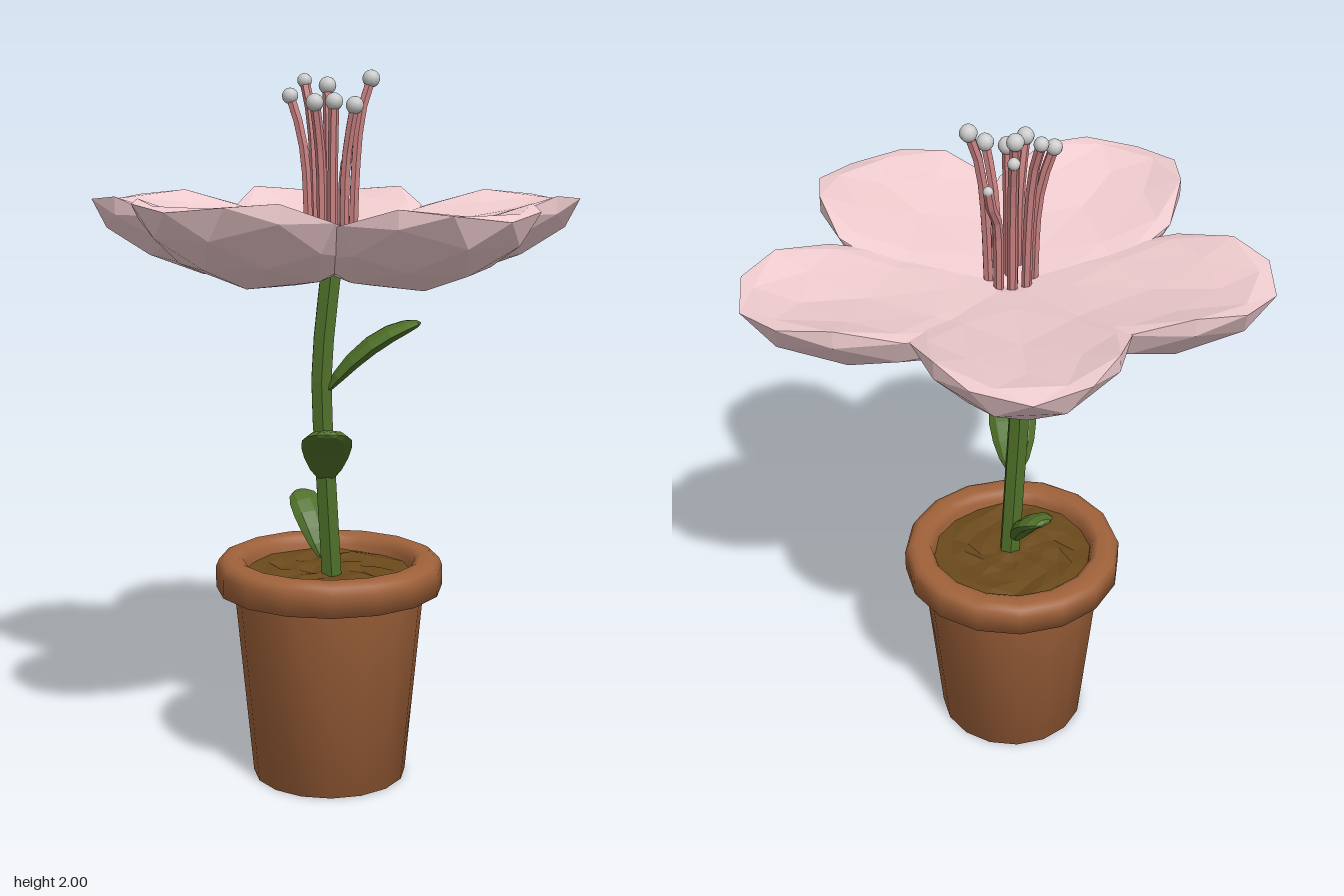
import * as THREE from 'three';

const mat = (color, flatShading = true) => new THREE.MeshStandardMaterial({ color, flatShading });
const terracotta = mat(0xa0623a, false);
const earth = mat(0x6b4a1c);
const green = mat(0x4f7029);
const pink = mat(0xf0cccf);
const rose = mat(0xc98080);
const pale = mat(0xcccccc, false);

const V = (x, y, z) => new THREE.Vector3(x, y, z);

function add(parent, name, geometry, material) {
  const mesh = new THREE.Mesh(geometry, material);
  mesh.name = name;
  parent.add(mesh);
  return mesh;
}

// Moves every vertex by a rule, then refreshes the normals
function reshape(geometry, rule) {
  const pos = geometry.attributes.position;
  const v = new THREE.Vector3();
  for (let i = 0; i < pos.count; i++) {
    v.fromBufferAttribute(pos, i);
    rule(v);
    pos.setXYZ(i, v.x, v.y, v.z);
  }
  geometry.computeVertexNormals();
  return geometry;
}

// Flattened, shallow cupped petal reaching outward along +x, its root crossing the centre
function petalGeometry(length, lift) {
  return reshape(new THREE.IcosahedronGeometry(1, 1), (p) => {
    const { x: u, y: n, z: v } = p;
    const reach = u < 0 ? 0.43 : 0.33;
    const thickness = n < 0 ? 0.115 : 0.045;
    const out = (u + 1) / 2;
    const y = 1.52 + lift * out * out + 0.13 * out * v * v + thickness * n;
    p.set((0.4 + reach * u) * length, y, 0.277 * v);
  });
}

// Leaf bent along a curve in its own x-y plane, slightly broader toward the tip
function leafGeometry(length, rise, width) {
  const curve = new THREE.QuadraticBezierCurve3(
    V(0, 0, 0), V(length * 0.45, rise * 0.85, 0), V(length, rise, 0));
  return reshape(new THREE.SphereGeometry(1, 8, 8), (p) => {
    const t = THREE.MathUtils.clamp((p.y + 1) / 2, 0, 1);
    const c = curve.getPoint(t);
    const d = curve.getTangent(t);
    const taper = 0.88 + 0.3 * t;
    const h = p.z * 0.025;
    p.set(c.x - d.y * h, c.y + d.x * h, p.x * taper * width / 2);
  });
}

export function createModel() {
  const model = new THREE.Group();
  model.name = 'pottedFlower';

  // Smooth pot with a thick rolled rim and a hollow top
  const profile = [
    [0, 0], [0.22, 0], [0.272, 0.555], [0.323, 0.555], [0.323, 0.615], [0.314, 0.636],
    [0.295, 0.645], [0.262, 0.645], [0.246, 0.636], [0.238, 0.615], [0.23, 0.57],
  ].map(([x, y]) => new THREE.Vector2(x, y));
  const pot = add(model, 'pot', new THREE.LatheGeometry(profile, 16), terracotta);
  pot.position.set(-0.025, 0, 0.061);

  // Lumpy soil
  const soil = add(model, 'soil', reshape(new THREE.RingGeometry(0.001, 0.236, 16, 5), (p) => {
    const bump = 0.008 * Math.sin(p.x * 47 + 1) * Math.cos(p.y * 53);
    p.set(p.x, 0.6 + bump, -p.y);
  }), earth);
  soil.position.copy(pot.position);

  // Slightly bowed stem
  const stemPath = new THREE.CatmullRomCurve3([
    V(-0.018, 0.58, 0.08), V(-0.033, 0.85, 0.087), V(-0.047, 1.17, 0.093),
    V(-0.033, 1.34, 0.088), V(-0.015, 1.5, 0.08),
  ]);
  add(model, 'stem', new THREE.TubeGeometry(stemPath, 8, 0.032, 6), green);

  // Leaves: base, heading (from +x toward +z), length, rise, width
  const leaves = [
    [V(-0.035, 1.12, 0.09), 0, 0.265, 0.195, 0.16],
    [V(-0.035, 0.865, 0.09), Math.PI / 2, 0.21, 0.175, 0.135],
    [V(-0.04, 0.635, 0.075), -Math.PI * 0.64, 0.16, 0.17, 0.11],
  ];
  for (const [base, heading, length, rise, width] of leaves) {
    const leaf = add(model, 'leaf', leafGeometry(length, rise, width), green);
    leaf.position.copy(base);
    leaf.rotation.y = -heading;
  }

  // Five slightly uneven petals: angle in degrees, length factor, tip lift
  const petalSet = [
    [90, 1, 0.115], [20, 1.02, 0.11], [-54, 0.98, 0.105], [-126, 0.98, 0.13], [158, 0.98, 0.11],
  ];
  const petals = new THREE.Group();
  petals.name = 'petals';
  petals.position.set(-0.015, 0, 0.05);
  model.add(petals);
  for (const [angle, length, lift] of petalSet) {
    const petal = add(petals, 'petal', petalGeometry(length, lift), pink);
    petal.rotation.y = THREE.MathUtils.degToRad(angle);
  }

  // Stamens: tip x, y, z and tip radius
  const tips = [
    [-0.09, 1.972, -0.01, 0.02], [-0.02, 1.925, -0.02, 0.017], [0.045, 1.845, -0.01, 0.014],
    [-0.13, 1.93, 0.06, 0.022], [-0.028, 1.958, 0.035, 0.024], [0.09, 1.976, 0.06, 0.024],
    [-0.012, 1.915, 0.11, 0.024], [0.042, 1.905, 0.155, 0.024], [-0.065, 1.912, 0.17, 0.024],
  ];
  const stamens = new THREE.Group();
  stamens.name = 'stamens';
  model.add(stamens);
  for (const [x, y, z, r] of tips) {
    const bx = -0.02 + (x + 0.02) * 0.55;
    const bz = 0.09 + (z - 0.09) * 0.6;
    const path = new THREE.CatmullRomCurve3([
      V(bx, 1.52, bz),
      V(bx + (x - bx) * 0.15, 1.74, bz + (z - bz) * 0.15),
      V(bx + (x - bx) * 0.45, y - 0.09, bz + (z - bz) * 0.45),
      V(x, y, z),
    ]);
    add(stamens, 'filament', new THREE.TubeGeometry(path, 6, 0.014, 6), rose);
    add(stamens, 'anther', new THREE.SphereGeometry(r, 10, 8), pale).position.set(x, y, z);
  }

  return model;
}
